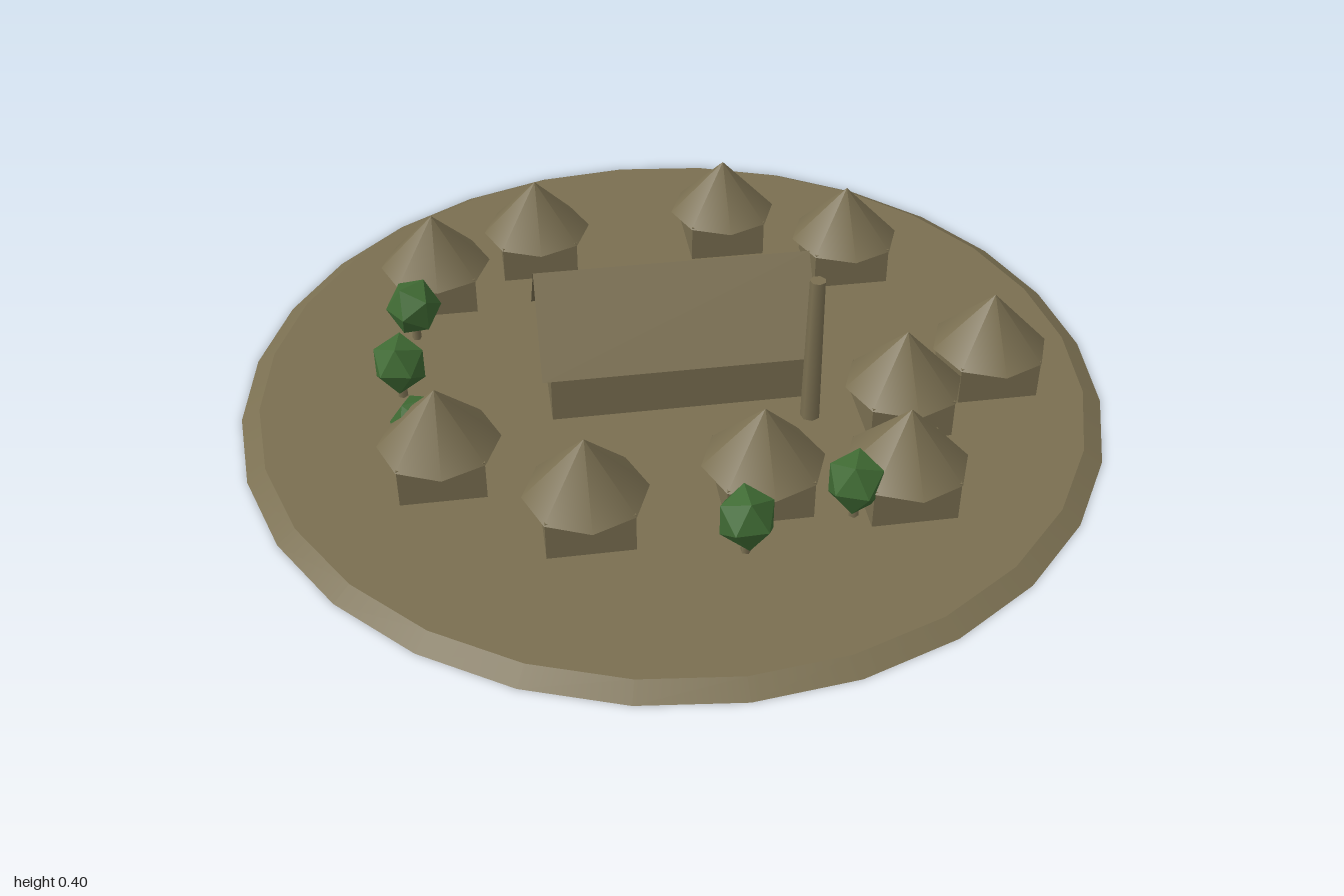
import * as THREE from 'three';

export function createModel() {
  const village = new THREE.Group();
  village.name = 'village';

  const earth = new THREE.MeshStandardMaterial({ color: 0x7a6f51 });
  earth.name = 'earth brown';
  earth.side = THREE.DoubleSide;
  const leaf = new THREE.MeshStandardMaterial({ color: 0x3f6a33 });
  leaf.name = 'leaf green';
  leaf.flatShading = true;

  const GROUND = 0.025;

  function add(parent, name, geometry, material, x = 0, y = 0, z = 0) {
    const mesh = new THREE.Mesh(geometry, material);
    mesh.name = name;
    mesh.position.set(x, y, z);
    parent.add(mesh);
    return mesh;
  }

  // Round plot of land with a bevelled rim
  add(village, 'ground', new THREE.CylinderGeometry(0.957, 1, GROUND, 28), earth, 0, GROUND / 2, 0);

  // Central hall: gabled body under two thin overhanging roof planes
  const hall = new THREE.Group();
  hall.name = 'hall';
  village.add(hall);
  const gable = new THREE.Shape([
    [-0.134, GROUND], [0.134, GROUND], [0.134, 0.155], [0, 0.32], [-0.134, 0.155],
  ].map(([x, y]) => new THREE.Vector2(x, y)));
  const body = new THREE.ExtrudeGeometry(gable, { depth: 0.59, bevelEnabled: false });
  body.translate(0, 0, -0.295).rotateY(Math.PI / 2);
  add(hall, 'hallWalls', body, earth);

  const ridge = 0.338, eave = 0.152, halfSpan = 0.16;
  const slopeLength = Math.hypot(ridge - eave, halfSpan);
  for (const side of [1, -1]) {
    const slope = new THREE.PlaneGeometry(0.63, slopeLength);
    slope.rotateX(-Math.atan2(halfSpan, ridge - eave));
    if (side < 0) slope.rotateY(Math.PI);
    add(hall, side > 0 ? 'frontRoofSlope' : 'backRoofSlope', slope, earth,
      0, (ridge + eave) / 2, side * halfSpan / 2);
  }

  // Free-standing chimney beside the hall
  add(village, 'chimney', new THREE.CylinderGeometry(0.018, 0.023, 0.395 - GROUND, 7), earth,
    0.287, (0.395 + GROUND) / 2, 0.203);

  // Ring of huts: square walls and an eight-sided conical roof
  const wallGeometry = new THREE.BoxGeometry(0.187, 0.1, 0.187);
  const roofGeometry = new THREE.ConeGeometry(0.134, 0.139, 8);
  const hutSpots = [
    [-0.535, -0.413], [-0.272, -0.538], [0.216, -0.567], [0.502, -0.393], [0.727, 0.117],
    [0.492, 0.228], [0.428, 0.495], [0.128, 0.447], [-0.255, 0.49], [-0.55, 0.282],
  ];
  for (const [x, z] of hutSpots) {
    const hut = new THREE.Group();
    hut.name = 'hut';
    hut.position.set(x, 0, z);
    village.add(hut);
    add(hut, 'hutWalls', wallGeometry, earth, 0, 0.07, 0);
    add(hut, 'hutRoof', roofGeometry, earth, 0, 0.1845, 0);
  }

  // Trees: faceted crown on a short trunk
  const trunkGeometry = new THREE.CylinderGeometry(0.009, 0.012, 0.06, 5);
  const crownGeometry = new THREE.IcosahedronGeometry(0.066, 0).scale(1, 1.1, 1);
  const treeSpots = [
    [-0.593, -0.23, 0.6], [-0.63, -0.007, 1.4], [-0.59, 0.22, 0.3],
    [0.06, 0.62, 1.6], [0.305, 0.545, 1.2],
  ];
  for (const [x, z, turn] of treeSpots) {
    const tree = new THREE.Group();
    tree.name = 'tree';
    tree.position.set(x, 0, z);
    tree.rotation.y = turn;
    village.add(tree);
    add(tree, 'trunk', trunkGeometry, earth, 0, 0.05, 0);
    add(tree, 'crown', crownGeometry, leaf, 0, 0.118, 0);
  }

  return village;
}
